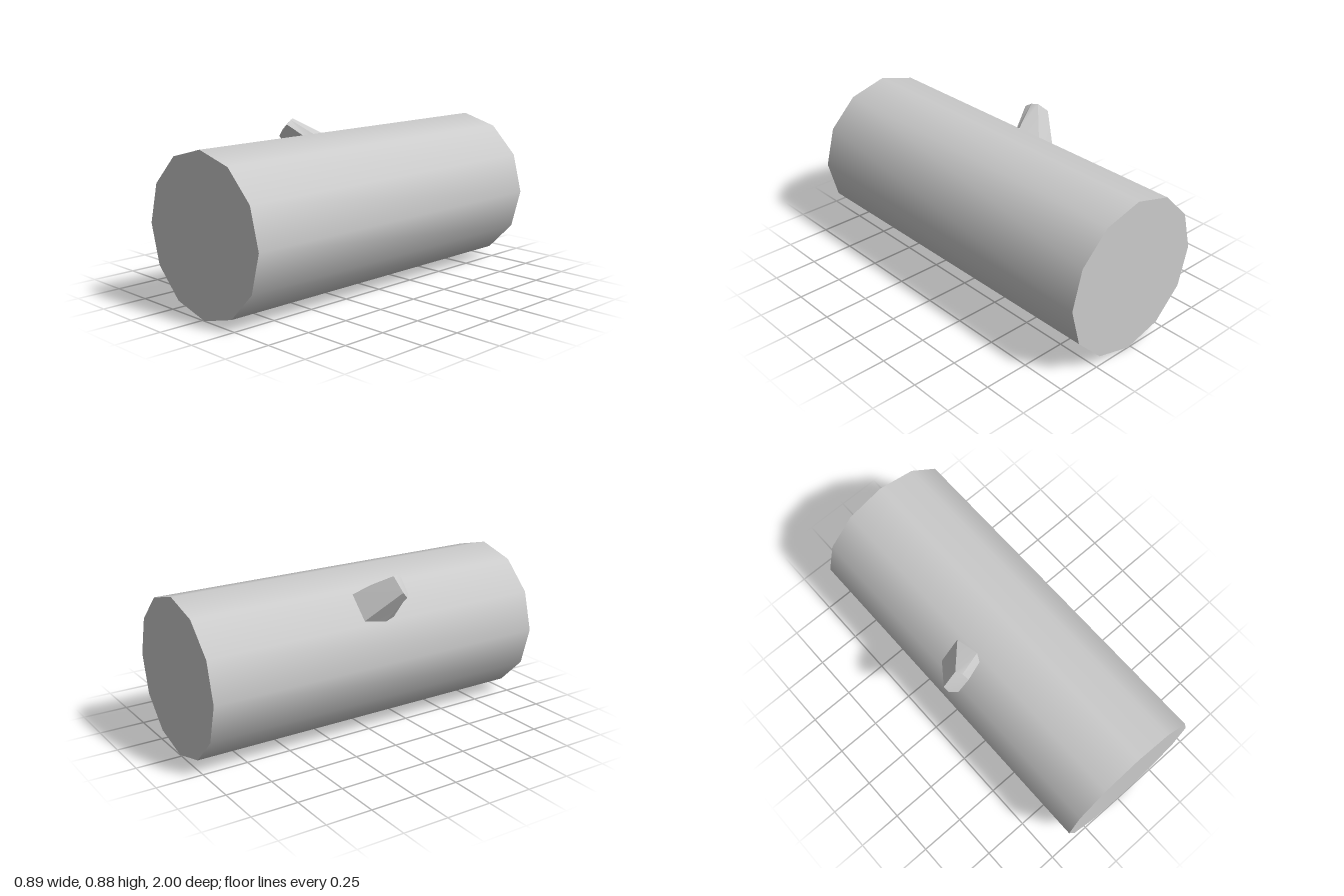
import * as THREE from 'three';
import { toCreasedNormals } from 'three/addons/utils/BufferGeometryUtils.js';

// Straight loft between two rings of corners, closed at the tip
function loft(base, tip) {
  const n = base.length, index = [];
  for (let i = 0; i < n; i++) {
    const j = (i + 1) % n;
    index.push(i, j, n + j, i, n + j, n + i);
  }
  for (let i = 1; i < n - 1; i++) index.push(n, n + i, n + i + 1);
  const g = new THREE.BufferGeometry();
  g.setAttribute('position', new THREE.Float32BufferAttribute([...base, ...tip].flat(), 3));
  g.setIndex(index);
  return toCreasedNormals(g, 0.75);
}

export function createModel() {
  const group = new THREE.Group();
  const material = new THREE.MeshStandardMaterial({ color: 0xcccccc });

  // Twelve-sided trunk lying along z
  const trunk = new THREE.Mesh(new THREE.CylinderGeometry(0.427, 0.427, 2, 12).rotateX(Math.PI / 2), material);
  trunk.name = 'trunk';
  trunk.position.set(0.017, 0.427, 0);
  group.add(trunk);

  // Base ring lies on one trunk facet: t runs across the facet, z along it
  const onFacet = ([t, z]) => [-0.352 + 0.155 * t, 0.64 + 0.158 * t, z];
  const base = [[0.12, -0.09], [0, 0.03], [0.08, 0.09], [0.88, 0.08], [1, 0.04], [0.85, -0.09]].map(onFacet);
  const tip = [
    [-0.446, 0.814, 0.07], [-0.439, 0.781, 0.1], [-0.404, 0.786, 0.132],
    [-0.335, 0.857, 0.136], [-0.344, 0.879, 0.1], [-0.363, 0.883, 0.067],
  ];

  // Cut branch leaning outwards and forwards
  const branch = new THREE.Mesh(loft(base, tip), material);
  branch.name = 'branchStub';
  group.add(branch);

  return group;
}
